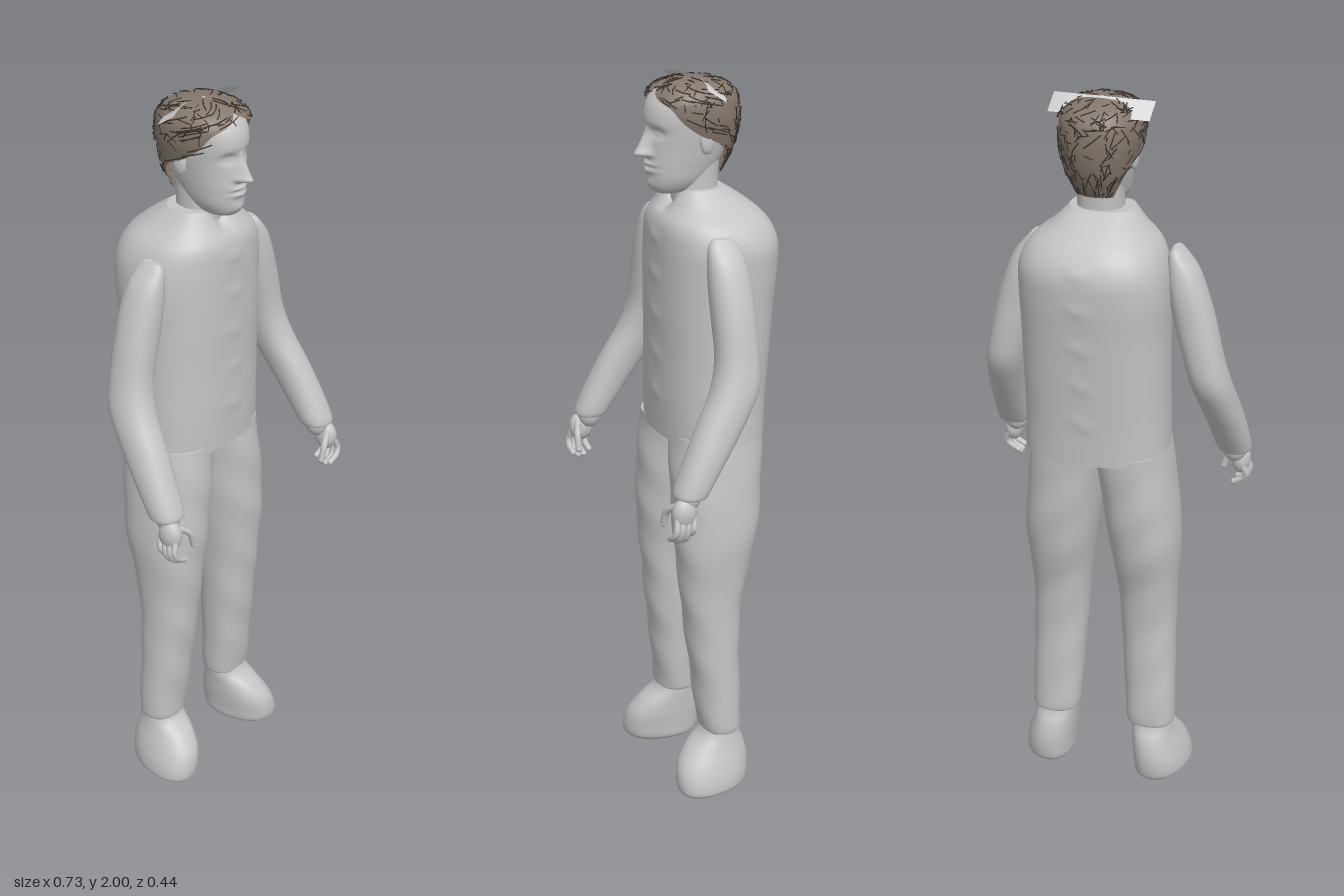
import * as THREE from 'three';
import { mergeGeometries } from 'three/addons/utils/BufferGeometryUtils.js';

const TAU = Math.PI * 2;
const bump = (d, w) => Math.exp(-(d * d) / (w * w));

// Smoothly interpolates a table of rows; u runs from 0 to 1
function sampleRow(rows, u) {
  const t = u * (rows.length - 1), i = Math.min(Math.floor(t), rows.length - 2), f = t - i;
  const at = (k) => rows[Math.max(0, Math.min(rows.length - 1, k))];
  return rows[i].map((_, c) => {
    const [a, b, d, e] = [at(i - 1)[c], at(i)[c], at(i + 1)[c], at(i + 2)[c]];
    return b + 0.5 * f * (d - a + f * (2 * a - 5 * b + 4 * d - e + f * (3 * (b - d) + e - a)));
  });
}

// Point on a section [y, x0, x1, z0, z1, opening]; angle 0 is the front
function sectionPoint([y, x0, x1, z0, z1], a, power) {
  const sn = Math.sin(a), cs = Math.cos(a);
  return new THREE.Vector3(
    (x0 + x1) / 2 + (x1 - x0) / 2 * Math.sign(sn) * Math.abs(sn) ** power, y,
    (z0 + z1) / 2 + (z1 - z0) / 2 * Math.sign(cs) * Math.abs(cs) ** power);
}

// Lofted body from horizontal sections listed upwards
function loft(rows, { seg = 40, steps = 40, power = 0.9, warp = null, open = false } = {}) {
  const pos = [], index = [], n = open ? seg + 1 : seg;
  for (let i = 0; i <= steps; i++) {
    const row = sampleRow(rows, i / steps), gap = open ? row[5] : 0;
    for (let j = 0; j < n; j++) {
      const p = sectionPoint(row, gap + (TAU - 2 * gap) * j / seg, power);
      if (warp) warp(p);
      pos.push(p.x, p.y, p.z);
    }
  }
  for (let i = 0; i < steps; i++) for (let j = 0; j < seg; j++) {
    const a = i * n + j, b = i * n + (j + 1) % n, c = a + n, d = b + n;
    index.push(a, b, c, b, d, c);
  }
  if (!open) for (const ring of [0, steps]) {
    const first = pos.length / 3, mid = [0, 0, 0];
    for (let j = 0; j < n; j++) for (let k = 0; k < 3; k++) {
      const v = pos[(ring * n + j) * 3 + k];
      pos.push(v);
      mid[k] += v / n;
    }
    pos.push(...mid);
    for (let j = 0; j < n; j++) {
      const a = first + j, b = first + (j + 1) % n;
      index.push(first + n, ring ? a : b, ring ? b : a);
    }
  }
  const g = new THREE.BufferGeometry();
  g.setAttribute('position', new THREE.Float32BufferAttribute(pos, 3));
  g.setIndex(index);
  g.computeVertexNormals();
  return g;
}

const mirrorRows = (rows, s) => (s > 0 ? rows : rows.map(([y, x0, x1, ...z]) => [y, -x1, -x0, ...z]));
const V = (x, y, z) => new THREE.Vector3(x, y, z);

export function createModel() {
  const model = new THREE.Group();
  const material = (name, color, side = THREE.FrontSide) =>
    Object.assign(new THREE.MeshStandardMaterial({ color, side }), { name });
  const grey = material('light grey', 0xc4c4c4);
  const strip = material('pale strip', 0xd4d4d4, THREE.DoubleSide);
  const brown = material('hair brown', 0x85786d, THREE.DoubleSide);
  const dark = material('dark strands', 0x3c342e);
  const add = (name, geometry, mat = grey, parent = model) => {
    const m = new THREE.Mesh(geometry, mat);
    m.name = name;
    parent.add(m);
    return m;
  };
  const ball = (parent, name, p, sx, sy, sz) => {
    const m = add(name, new THREE.SphereGeometry(1, 20, 14), grey, parent);
    m.position.copy(p);
    m.scale.set(sx, sy, sz);
    return m;
  };

  // Shirt with a notched collar and a row of buttons
  add('shirt', loft([
    [1.04, -0.19, 0.205, -0.18, 0.1], [1.15, -0.187, 0.203, -0.185, 0.103],
    [1.28, -0.185, 0.205, -0.195, 0.103], [1.4, -0.185, 0.207, -0.205, 0.105],
    [1.5, -0.187, 0.21, -0.215, 0.105], [1.575, -0.18, 0.208, -0.215, 0.105],
    [1.63, -0.158, 0.182, -0.19, 0.1], [1.675, -0.115, 0.128, -0.14, 0.075],
    [1.715, -0.08, 0.09, -0.08, 0.055]], {
    seg: 72, steps: 72, power: 0.82, warp: (p) => {
      for (const y of [1.16, 1.27, 1.38, 1.49, 1.59])
        p.z += Math.sign(p.z + 0.05) * 0.005 * bump(p.x - 0.01, 0.02) * bump(p.y - y, 0.018);
      if (p.z > 0 && p.y > 1.65) p.y -= 0.045 * bump(p.x - 0.01, 0.03) * (p.y - 1.65) / 0.065;
    } }));

  for (const s of [1, -1]) {
    const side = s > 0 ? 'left' : 'right';
    // Trouser leg
    add(side + 'TrouserLeg', loft(mirrorRows([
      [0.175, 0.078, 0.205, -0.078, 0.03], [0.2, 0.072, 0.21, -0.082, 0.035],
      [0.35, 0.062, 0.207, -0.08, 0.052], [0.5, 0.052, 0.205, -0.083, 0.07],
      [0.62, 0.044, 0.207, -0.1, 0.082], [0.75, 0.026, 0.217, -0.133, 0.094],
      [0.85, 0.013, 0.213, -0.148, 0.097], [0.95, 0.002, 0.203, -0.157, 0.097],
      [1.06, -0.015, 0.19, -0.165, 0.092]], s), { warp: (p) => {
      p.z += 0.002 * Math.sin(p.y * 38 + p.x * 30);
    } }));
    // Shoe
    add(side + 'Shoe', loft(mirrorRows([
      [0, 0.115, 0.225, -0.08, 0.1], [0.015, 0.1, 0.24, -0.093, 0.117],
      [0.05, 0.096, 0.238, -0.1, 0.12], [0.09, 0.092, 0.227, -0.1, 0.11],
      [0.13, 0.09, 0.212, -0.092, 0.08], [0.165, 0.088, 0.202, -0.076, 0.04],
      [0.2, 0.09, 0.195, -0.068, 0.025]], s), { warp: (p) => {
      p.x += s * p.z * 0.14 * Math.max(0, 1 - p.y / 0.18);
    } }));
    // Sleeve
    add(side + 'Sleeve', loft(mirrorRows([
      [0.985, 0.282, 0.362, 0.11, 0.19], [1.0, 0.272, 0.367, 0.1, 0.195],
      [1.08, 0.262, 0.362, 0.045, 0.16], [1.16, 0.25, 0.352, -0.01, 0.12],
      [1.24, 0.234, 0.34, -0.055, 0.075], [1.32, 0.216, 0.322, -0.065, 0.052],
      [1.42, 0.19, 0.3, -0.065, 0.05], [1.5, 0.175, 0.275, -0.064, 0.05],
      [1.56, 0.17, 0.25, -0.055, 0.046], [1.6, 0.172, 0.218, -0.042, 0.038],
      [1.617, 0.182, 0.202, -0.025, 0.025]], s)));
    // Hand with curled fingers
    const hand = new THREE.Group();
    hand.name = side + 'Hand';
    model.add(hand);
    ball(hand, 'wrist', V(s * 0.32, 0.985, 0.157), 0.034, 0.04, 0.032);
    ball(hand, 'palm', V(s * 0.334, 0.945, 0.176), 0.026, 0.042, 0.034);
    const digit = (name, pts, r) => {
      const curve = new THREE.CatmullRomCurve3(pts.map(([x, y, z]) => V(s * x, y, z)));
      add(name, new THREE.TubeGeometry(curve, 10, r, 8), grey, hand);
      ball(hand, name + 'Tip', curve.getPoint(1), r, r, r);
    };
    for (let i = 0; i < 4; i++) {
      const z = 0.152 + i * 0.016, drop = [0.012, 0, 0, 0.008][i];
      digit('finger', [[0.342, 0.935, z], [0.353, 0.905, z + 0.006],
        [0.344, 0.88 + drop, z + 0.009], [0.318, 0.866 + drop, z + 0.008]], 0.0085);
    }
    digit('thumb', [[0.322, 0.965, 0.19], [0.29, 0.94, 0.205], [0.277, 0.9, 0.207]], 0.0095);
  }

  // Neck and head, with the face shaped by a rule
  const cx = 0.011;
  add('neck', loft([[1.6, -0.06, 0.08, -0.09, 0.05], [1.68, -0.052, 0.074, -0.072, 0.05],
    [1.72, -0.05, 0.072, -0.07, 0.05], [1.79, -0.05, 0.072, -0.075, 0.04]], { steps: 16 }));
  const headRow = (y, h, zb, zf) => [y, cx - h, cx + h, zb, zf];
  add('head', loft([
    headRow(1.702, 0.02, 0.04, 0.085), headRow(1.712, 0.042, -0.005, 0.107),
    headRow(1.74, 0.06, -0.04, 0.118), headRow(1.78, 0.07, -0.075, 0.122),
    headRow(1.82, 0.077, -0.095, 0.12), headRow(1.86, 0.083, -0.107, 0.12),
    headRow(1.9, 0.086, -0.112, 0.126), headRow(1.94, 0.085, -0.11, 0.116),
    headRow(1.97, 0.072, -0.09, 0.088), headRow(1.987, 0.03, -0.04, 0.04)], {
    seg: 96, steps: 90, warp: (p) => {
      if (p.z < 0.03) return;
      const x = p.x - cx, ax = Math.abs(x), y = p.y;
      const bridge = THREE.MathUtils.smoothstep(y, 1.797, 1.812) * Math.max(0, (1.885 - y) / 0.075);
      p.z += 0.042 * bump(x, 0.009 + 0.007 * bridge) * Math.min(1, bridge);
      p.z += 0.007 * bump(ax - 0.014, 0.008) * bump(y - 1.812, 0.009);
      p.z -= 0.013 * bump(ax - 0.034, 0.018) * bump(y - 1.868, 0.013);
      p.z += 0.006 * bump(ax - 0.034, 0.011) * bump(y - 1.866, 0.007);
      p.z += 0.009 * bump(x, 0.024) * (bump(y - 1.785, 0.006) + bump(y - 1.768, 0.006));
      p.z -= 0.004 * bump(x, 0.03) * bump(y - 1.776, 0.004);
      p.z += 0.006 * bump(x, 0.025) * bump(y - 1.73, 0.014);
    } }));
  for (const s of [1, -1]) ball(model, 'ear', V(cx + s * 0.087, 1.845, -0.005), 0.011, 0.033, 0.02);

  // Hair shell, open around the face
  const hairRow = (y, h, zb, zf, gap) => [y, cx - h, cx + h, zb, zf, gap];
  const hairRows = [
    hairRow(1.75, 0.062, -0.075, 0.05, 2.3), hairRow(1.79, 0.078, -0.098, 0.06, 2.1),
    hairRow(1.83, 0.091, -0.113, 0.08, 1.85), hairRow(1.865, 0.1, -0.121, 0.1, 1.35),
    hairRow(1.9, 0.107, -0.124, 0.115, 1.0), hairRow(1.935, 0.106, -0.122, 0.12, 0.75),
    hairRow(1.955, 0.1, -0.115, 0.114, 0.3), hairRow(1.975, 0.086, -0.098, 0.095, 0),
    hairRow(1.99, 0.055, -0.06, 0.06, 0), hairRow(1.995, 0.004, -0.004, 0.006, 0)];
  add('hair', loft(hairRows, { seg: 48, steps: 36, open: true }), brown);

  // Loose dark strands lying over the hair
  let seed = 7;
  const rand = () => (seed = (seed * 16807) % 2147483647) / 2147483647;
  const strands = [];
  for (let k = 0; k < 260; k++) {
    const u = 0.05 + 0.85 * rand(), f = rand(), du = (rand() - 0.5) * 0.26, df = (rand() - 0.5) * 0.16;
    const pts = [0, 0.5, 1].map((t) => {
      const row = sampleRow(hairRows, Math.min(0.97, Math.max(0, u + du * t))), gap = Math.max(0, row[5]);
      const p = sectionPoint(row, gap + (TAU - 2 * gap) * (f + df * t), 0.9);
      p.x += (p.x - cx) * 0.03 * (1 + t);
      p.z *= 1.02 + 0.03 * t;
      p.y = Math.min(1.998, p.y + 0.002);
      return p;
    });
    strands.push(new THREE.TubeGeometry(new THREE.CatmullRomCurve3(pts), 4, 0.0016, 4));
  }
  add('hairStrands', mergeGeometries(strands), dark);

  // Pale curved strip across the crown
  const band = new THREE.PlaneGeometry(0.27, 1, 24, 2), bp = band.attributes.position;
  for (let i = 0; i < bp.count; i++) {
    const x = bp.getX(i), v = bp.getY(i) + 0.5, bend = (x / 0.135) ** 2;
    bp.setXYZ(i, x + cx, 1.962 + 0.036 * v - 0.01 * bend, -0.066 + 0.054 * v + 0.03 * bend);
  }
  band.computeVertexNormals();
  add('crownStrip', band, strip);

  return model;
}
